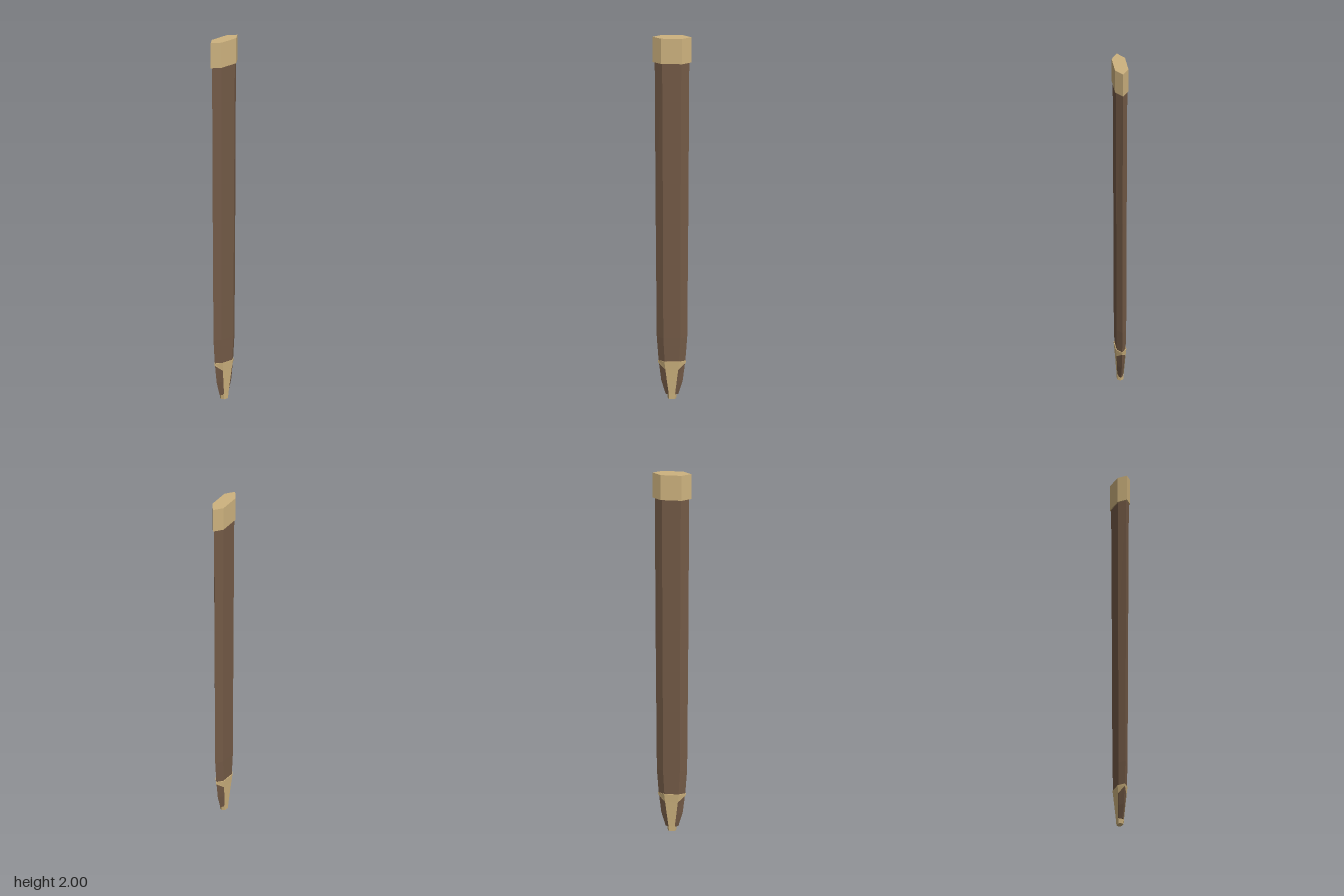
import * as THREE from 'three';

const brass = new THREE.MeshStandardMaterial({ color: 0xcdb27e, side: THREE.DoubleSide });
brass.name = 'brass';
const leather = new THREE.MeshStandardMaterial({ color: 0x735a46 });
leather.name = 'leather';

// Flat-shaded mesh from polygons, each a loop of [x, y, z] corners
function polyMesh(name, polys, material) {
  const pos = [];
  for (const p of polys)
    for (let i = 1; i < p.length - 1; i++) pos.push(...p[0], ...p[i], ...p[i + 1]);
  const geo = new THREE.BufferGeometry();
  geo.setAttribute('position', new THREE.Float32BufferAttribute(pos, 3));
  geo.computeVertexNormals();
  const mesh = new THREE.Mesh(geo, material);
  mesh.name = name;
  return mesh;
}

// Six-sided section: height, half width, half width of the flat, half depth
const ring = ([y, w, f, d]) => [
  [w, y, 0], [f, y, -d], [-f, y, -d], [-w, y, 0], [-f, y, d], [f, y, d],
];

// Closed loft through sections listed from bottom to top
function loft(name, sections, material) {
  const rings = sections.map(ring);
  const polys = [[...rings[0]].reverse(), rings[rings.length - 1]];
  for (let k = 0; k < rings.length - 1; k++)
    for (let i = 0; i < 6; i++) {
      const j = (i + 1) % 6;
      polys.push([rings[k][i], rings[k][j], rings[k + 1][j], rings[k + 1][i]]);
    }
  return polyMesh(name, polys, material);
}

export function createModel() {
  const group = new THREE.Group();
  group.name = 'scabbard';

  // Tapering leather body
  group.add(loft('body', [
    [0.025, 0.034, 0.016, 0.013],
    [0.1, 0.057, 0.026, 0.018],
    [0.21, 0.071, 0.038, 0.024],
    [0.34, 0.081, 0.045, 0.026],
    [1.03, 0.087, 0.047, 0.028],
    [1.87, 0.092, 0.051, 0.031],
  ], leather));

  // Brass collar at the mouth
  group.add(loft('collar', [
    [1.86, 0.103, 0.056, 0.036],
    [2, 0.103, 0.056, 0.036],
  ], brass));

  // Brass foot at the point
  group.add(loft('foot', [
    [0, 0.022, 0.014, 0.015],
    [0.03, 0.026, 0.016, 0.016],
  ], brass));

  // Brass tip plates: tongue down each flat, short wings around the sides
  const tongue = [[0.21, 0.039, 0.028], [0.165, 0.034, 0.0245], [0.1, 0.026, 0.0205], [0.03, 0.017, 0.0165], [0, 0.014, 0.0155]];
  const polys = [ring([0.21, 0.074, 0.039, 0.028])];
  for (const s of [1, -1]) {
    for (let i = 0; i < tongue.length - 1; i++) {
      const [y0, f0, d0] = tongue[i], [y1, f1, d1] = tongue[i + 1];
      const quad = [[-f0, y0, s * d0], [-f1, y1, s * d1], [f1, y1, s * d1], [f0, y0, s * d0]];
      polys.push(s > 0 ? quad : quad.reverse());
    }
    for (const m of [1, -1]) {
      const wing = [[m * 0.039, 0.21, s * 0.028], [m * 0.034, 0.165, s * 0.0245], [m * 0.073, 0.197, 0], [m * 0.074, 0.21, 0]];
      polys.push(s * m > 0 ? wing : wing.reverse());
    }
  }
  group.add(polyMesh('tipPlates', polys, brass));

  return group;
}
